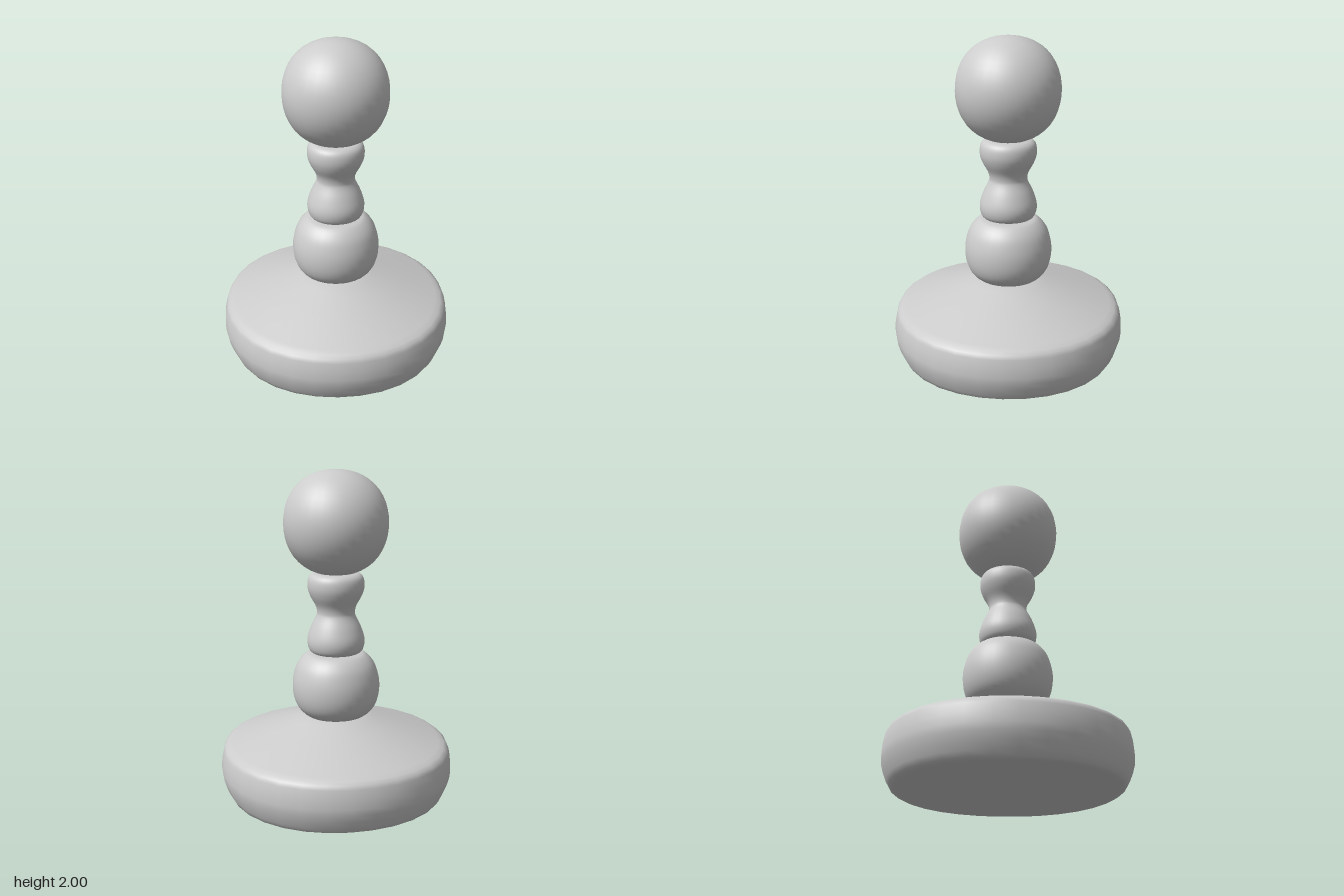
import * as THREE from 'three';

const SIDES = 32;
const material = new THREE.MeshStandardMaterial({ color: 0xcccccc });

// Turned part from [radius, height] pairs listed bottom to top;
// the round section swells slightly on the diagonals.
function turned(name, profile, smooth = 0) {
  let points = profile.map(([r, y]) => new THREE.Vector2(r, y));
  if (smooth) points = new THREE.SplineCurve(points).getPoints(smooth);
  points.forEach(p => { p.x = Math.max(p.x, 0); });
  const geometry = new THREE.LatheGeometry(points, SIDES);
  const pos = geometry.attributes.position;
  for (let i = 0; i < pos.count; i++) {
    const a = Math.atan2(pos.getX(i), pos.getZ(i));
    const k = 1 + 0.02 * Math.sin(2 * a) ** 2;
    pos.setXYZ(i, pos.getX(i) * k, pos.getY(i), pos.getZ(i) * k);
  }
  const mesh = new THREE.Mesh(geometry, material);
  mesh.name = name;
  return mesh;
}

// Ball that leans slightly towards a rounded cube
function softBall(name, radius, y) {
  const geometry = new THREE.SphereGeometry(radius, SIDES, 24);
  const pos = geometry.attributes.position;
  const v = new THREE.Vector3();
  for (let i = 0; i < pos.count; i++) {
    v.fromBufferAttribute(pos, i).normalize();
    const s = v.x ** 4 + v.y ** 4 + v.z ** 4;
    v.multiplyScalar(radius * (1 + 0.054 * (1 - s)));
    pos.setXYZ(i, v.x, v.y, v.z);
  }
  const mesh = new THREE.Mesh(geometry, material);
  mesh.name = name;
  mesh.position.y = y;
  return mesh;
}

export function createModel() {
  const group = new THREE.Group();
  group.name = 'pawn';

  // Wide foot with a bulging rim and a conical top
  group.add(turned('base', [
    [0, 0], [0.36, 0.003], [0.6, 0.009], [0.645, 0.013], [0.665, 0.025], [0.682, 0.055],
    [0.7, 0.1], [0.713, 0.145], [0.717, 0.185], [0.713, 0.24], [0.702, 0.295],
    [0.692, 0.318], [0.672, 0.333], [0.64, 0.347], [0.42, 0.424], [0.23, 0.488],
    [0.17, 0.504], [0.12, 0.51], [0, 0.51],
  ]));

  // Flattened ball above the foot
  group.add(turned('lowerBall', [
    [0, 0.498], [0.14, 0.5], [0.19, 0.515], [0.235, 0.56], [0.26, 0.62], [0.268, 0.69],
    [0.26, 0.76], [0.235, 0.83], [0.19, 0.882], [0.14, 0.898], [0, 0.902],
  ], 40));

  // Waisted neck
  group.add(turned('neck', [
    [0, 0.895], [0.11, 0.897], [0.155, 0.91], [0.173, 0.95], [0.172, 1.0], [0.15, 1.065],
    [0.121, 1.125], [0.115, 1.155], [0.125, 1.195], [0.155, 1.25], [0.171, 1.3],
    [0.169, 1.35], [0.15, 1.38], [0.11, 1.391], [0, 1.393],
  ], 56));

  // Head
  group.add(softBall('head', 0.3125, 1.6875));

  return group;
}
